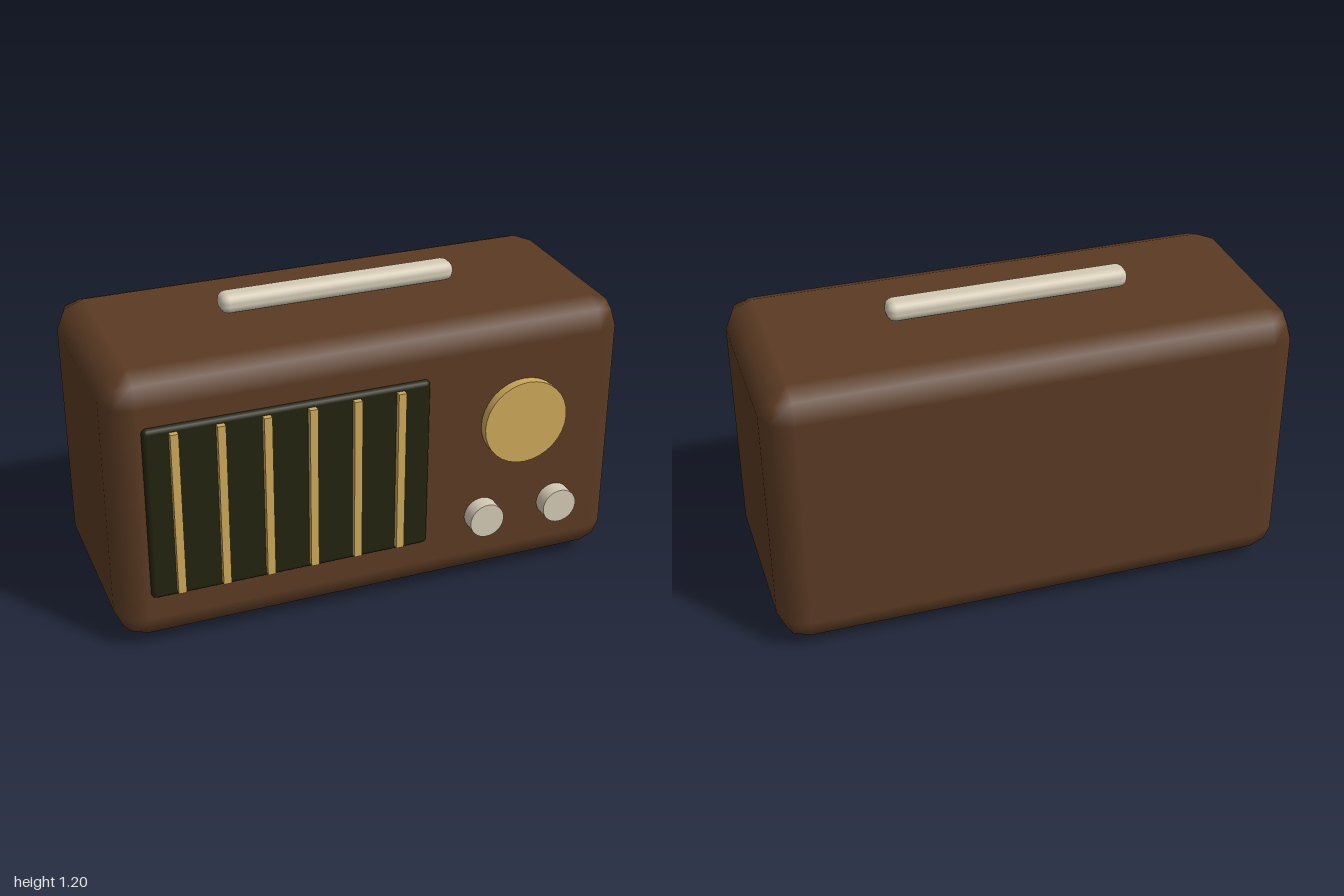
import * as THREE from 'three';
import { RoundedBoxGeometry } from 'three/addons/geometries/RoundedBoxGeometry.js';

const paint = (name, color) => {
  const m = new THREE.MeshStandardMaterial({ color });
  m.name = name;
  return m;
};

export function createModel() {
  const radio = new THREE.Group();
  radio.name = 'tableRadio';

  const walnut = paint('walnut brown', 0x5a3a23);
  const dark = paint('dark olive cloth', 0x23230f);
  const brass = paint('brass', 0xcda85b);
  const ivory = paint('ivory', 0xd4cab5);

  const add = (name, geometry, material, x, y, z) => {
    const mesh = new THREE.Mesh(geometry, material);
    mesh.name = name;
    mesh.position.set(x, y, z);
    radio.add(mesh);
    return mesh;
  };

  // Disc facing the front, spanning from inside the cabinet to zFront
  const disc = (name, material, r, x, y, zFront) => {
    const back = 0.37;
    const g = new THREE.CylinderGeometry(r, r, zFront - back, 32).rotateX(Math.PI / 2);
    add(name, g, material, x, y, (zFront + back) / 2);
  };

  // Cabinet with softly bevelled edges
  add('cabinet', new RoundedBoxGeometry(2, 1.075, 0.85, 1, 0.108), walnut, 0, 0.5725, -0.03);

  // Speaker cloth and its vertical brass bars
  add('speakerGrille', new RoundedBoxGeometry(1.075, 0.69, 0.05, 2, 0.018), dark, -0.342, 0.585, 0.391);
  for (let i = 0; i < 6; i++) {
    add('grilleBar', new THREE.BoxGeometry(0.03, 0.65, 0.03), brass, -0.773 + i * 0.1695, 0.585, 0.423);
  }

  // Tuning dial and the two knobs under it
  disc('tuningDial', brass, 0.168, 0.581, 0.695, 0.432);
  for (const x of [0.427, 0.735]) disc('knob', ivory, 0.069, x, 0.31, 0.455);

  // Carrying handle above the top
  add('handle', new RoundedBoxGeometry(0.924, 0.076, 0.092, 2, 0.032), ivory, 0, 1.157, -0.03);

  // Feet
  for (const s of [-1, 1]) {
    add('foot', new THREE.CylinderGeometry(0.061, 0.061, 0.06, 16), dark, s * 0.77, 0.03, -0.03);
  }

  return radio;
}
